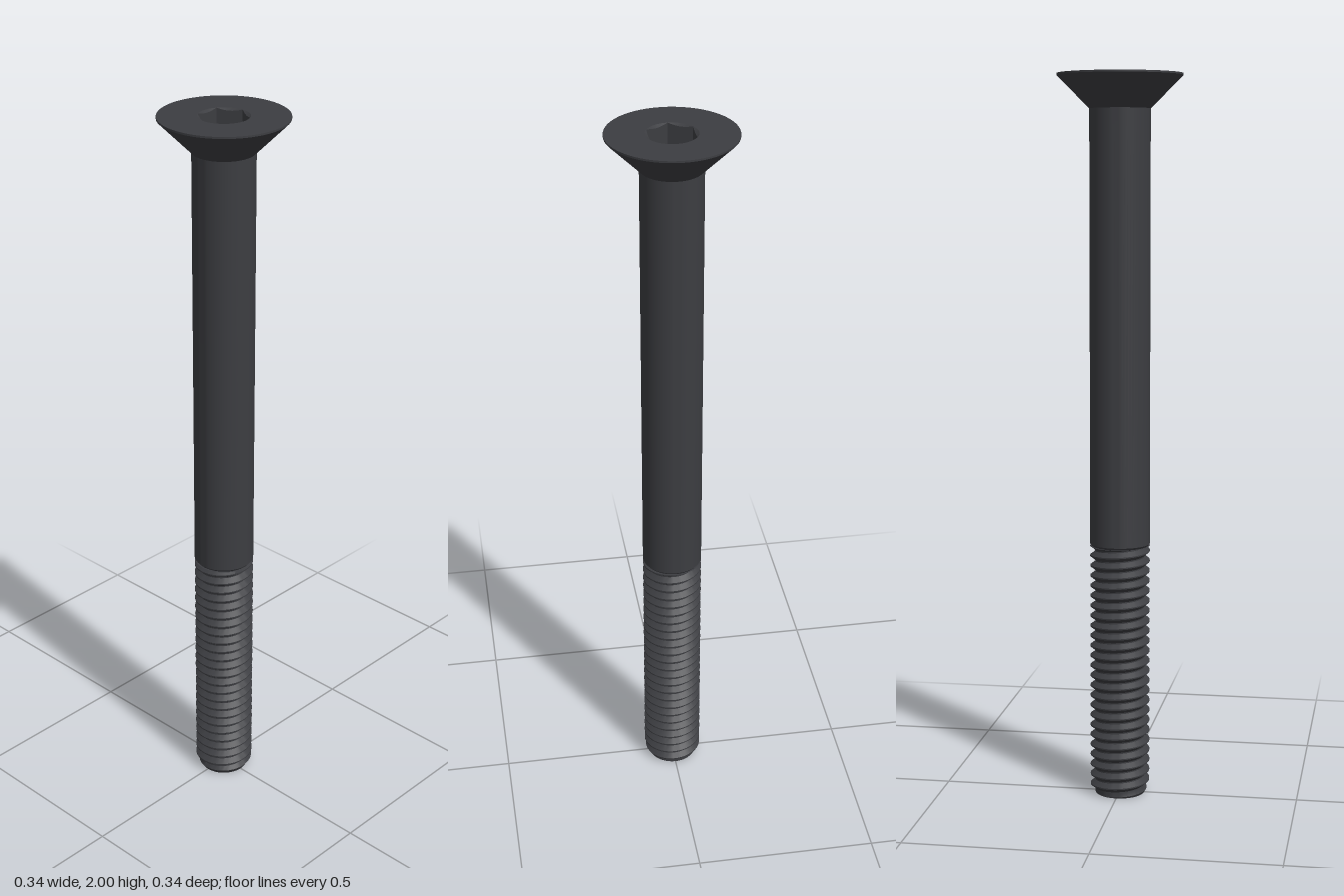
import * as THREE from 'three';
import { toCreasedNormals } from 'three/addons/utils/BufferGeometryUtils.js';

const SEG = 60;               // steps round the axis
const SHANK_R = 0.083, ROOT_R = 0.069, HEAD_R = 0.171;
const THREAD_TOP = 0.71, PITCH = 0.0286;
const SOCKET_R = 0.068, SOCKET_APOTHEM = 0.059, SOCKET_FLOOR = 1.925;

const material = new THREE.MeshStandardMaterial({ color: 0x3c3d41 });

// Surface swept round the y axis; profile(angle, row) returns [radius, y].
function sweep(steps, rows, profile) {
  const positions = [], index = [];
  for (let i = 0; i <= steps; i++) {
    const angle = (i / SEG) * Math.PI * 2;
    for (let j = 0; j < rows; j++) {
      const [r, y] = profile(angle, j);
      positions.push(r * Math.sin(angle), y, r * Math.cos(angle));
    }
  }
  const p = (k) => new THREE.Vector3().fromArray(positions, k * 3);
  const addFace = (a, b, c) => {
    const t = new THREE.Triangle(p(a), p(b), p(c));
    if (t.getArea() > 1e-9) index.push(a, b, c);
  };
  for (let i = 0; i < steps; i++) {
    for (let j = 0; j < rows - 1; j++) {
      const a = i * rows + j, b = a + rows;
      addFace(a, b, b + 1);
      addFace(a, b + 1, a + 1);
    }
  }
  const geometry = new THREE.BufferGeometry();
  geometry.setAttribute('position', new THREE.Float32BufferAttribute(positions, 3));
  geometry.setIndex(index);
  return toCreasedNormals(geometry, 0.5);
}

function part(name, geometry) {
  const mesh = new THREE.Mesh(geometry, material);
  mesh.name = name;
  return mesh;
}

// Ring profile that is the same all the way round
const turned = (points) => sweep(SEG, points.length, (angle, j) => points[j]);

// Right-handed helical thread, trimmed at both ends and tapered at the tip
function threadGeometry() {
  const tooth = [[0, ROOT_R], [0.12, ROOT_R], [0.5, SHANK_R], [0.62, SHANK_R], [1, ROOT_R]];
  const turns = Math.ceil(THREAD_TOP / PITCH) + 1;
  return sweep(turns * SEG, tooth.length, (angle, j) => {
    const [offset, radius] = tooth[j];
    const height = PITCH * (angle / (Math.PI * 2) + offset - 1);
    const y = THREE.MathUtils.clamp(height, 0, THREAD_TOP);
    return [Math.min(radius, ROOT_R + y * 0.6), y];
  });
}

// Hexagonal recess with a conical lead-in and a flat floor
function socketGeometry() {
  return sweep(SEG, 4, (angle, j) => {
    const sector = Math.PI / 3;
    const local = ((angle + sector / 2) % sector) - sector / 2;
    const hexR = Math.min(SOCKET_R, SOCKET_APOTHEM / Math.cos(local));
    return [
      [SOCKET_R, 2],
      [hexR, 2 - (SOCKET_R - hexR) * 0.6],
      [hexR, SOCKET_FLOOR],
      [0, SOCKET_FLOOR],
    ][j];
  });
}

export function createModel() {
  const screw = new THREE.Group();
  screw.name = 'countersunkScrew';

  screw.add(part('shank', turned([
    [0.06, THREAD_TOP], [0.078, THREAD_TOP], [SHANK_R, THREAD_TOP + 0.006], [SHANK_R, 1.907],
  ])));
  screw.add(part('head', turned([
    [SHANK_R, 1.907], [HEAD_R, 1.995], [HEAD_R, 2], [SOCKET_R, 2],
  ])));
  screw.add(part('hexSocket', socketGeometry()));
  screw.add(part('thread', threadGeometry()));
  screw.add(part('tip', turned([[0, 0], [ROOT_R, 0]])));

  return screw;
}
